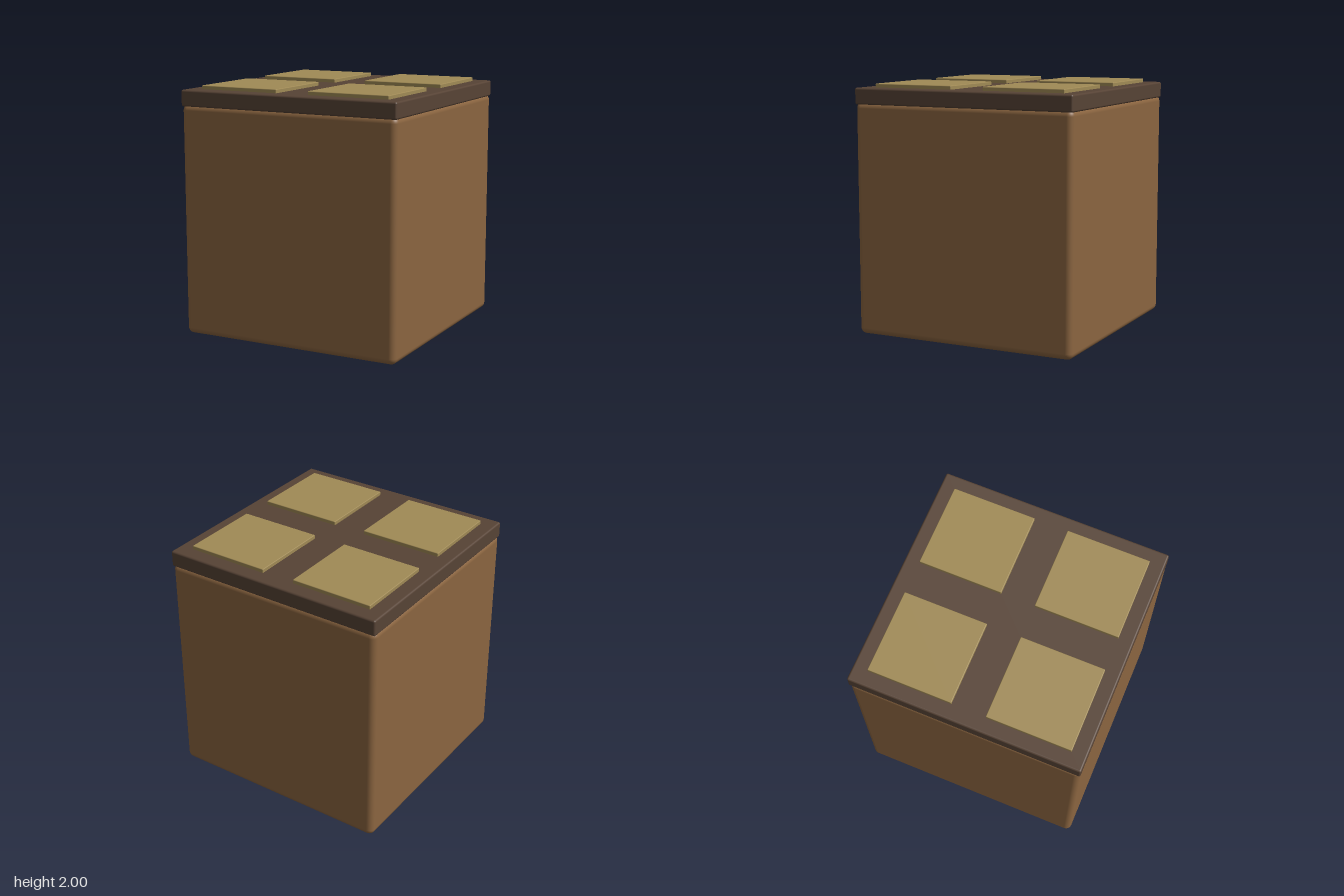
import * as THREE from 'three';
import { RoundedBoxGeometry } from 'three/addons/geometries/RoundedBoxGeometry.js';

// Rounded box standing on height y
function block(name, width, height, radius, color, x, y, z) {
  const mesh = new THREE.Mesh(
    new RoundedBoxGeometry(width, height, width, 4, radius),
    new THREE.MeshStandardMaterial({ color })
  );
  mesh.name = name;
  mesh.position.set(x, y + height / 2, z);
  return mesh;
}

export function createModel() {
  const model = new THREE.Group();
  model.name = 'crate';

  // Softly rounded body, its top edge tucked into the lid
  model.add(block('body', 1.86, 1.86, 0.05, 0x8b6540, 0, 0, 0));

  // Crisp lid slab
  model.add(block('lid', 1.86, 0.13, 0.015, 0x574335, 0, 1.84, 0));

  // Four square pads, sunk slightly into the lid
  const pads = new THREE.Group();
  pads.name = 'pads';
  for (const x of [-1, 1]) {
    for (const z of [-1, 1]) {
      const name = `${z > 0 ? 'front' : 'back'}${x > 0 ? 'Left' : 'Right'}Pad`;
      pads.add(block(name, 0.675, 0.04, 0.006, 0xa08a55, x * 0.474, 1.96, z * 0.474));
    }
  }
  model.add(pads);

  return model;
}
